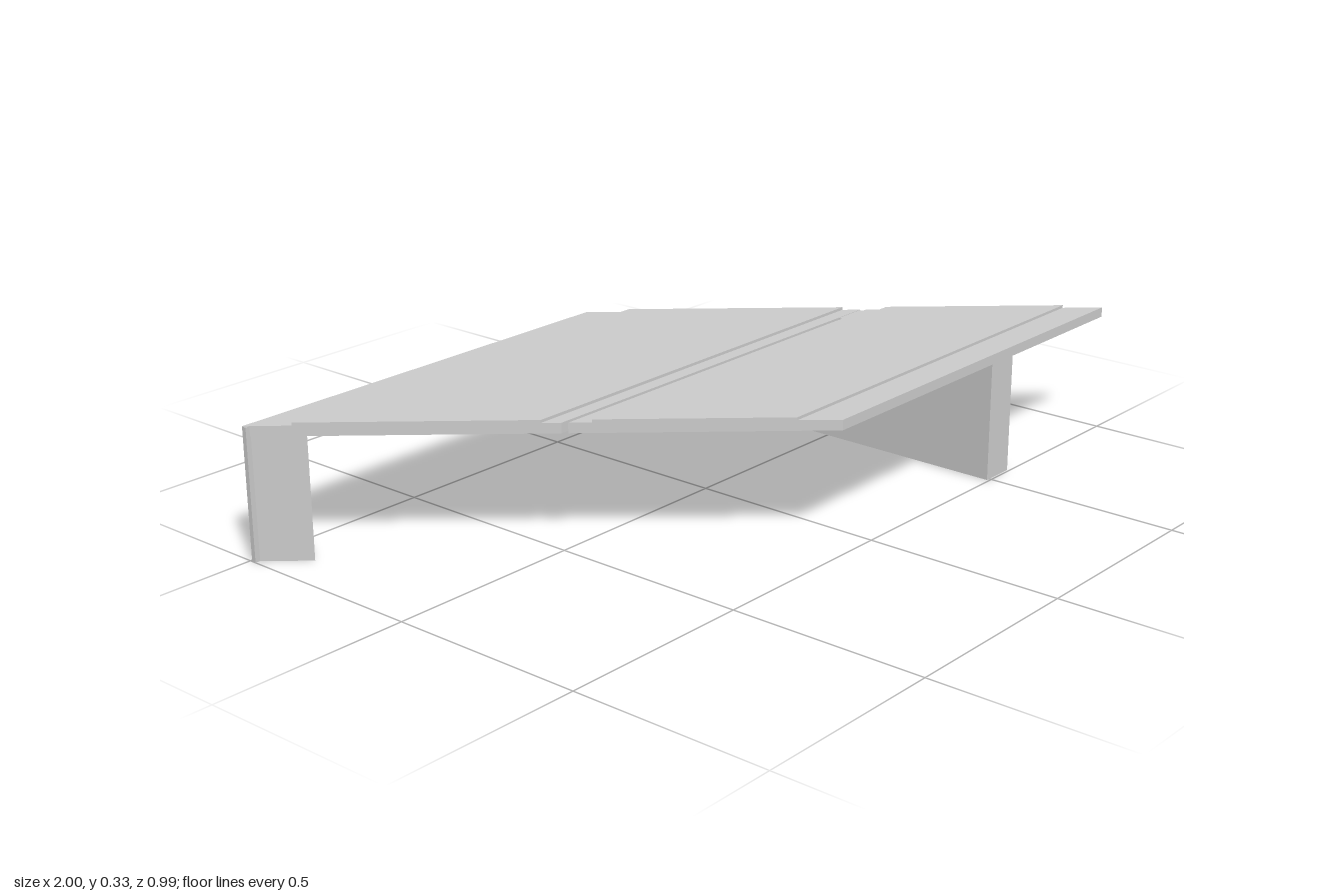
import * as THREE from 'three';

const material = new THREE.MeshStandardMaterial({ color: 0xcccccc, flatShading: true });
const HALF = 0.494;   // half depth of the bridge
const SKEW = 0.9;     // sideways shift per unit of depth
const WIDTH = 1.11;   // deck length along x
const UNDER = 0.3, TOP = 0.325, RAISED = 0.332;

function extrude(points, depth) {
  const shape = new THREE.Shape(points.map(([a, b]) => new THREE.Vector2(a, b)));
  return new THREE.ExtrudeGeometry(shape, { depth, bevelEnabled: false });
}

function addMesh(group, name, geometry) {
  const mesh = new THREE.Mesh(geometry, material);
  mesh.name = name;
  group.add(mesh);
}

// Deck half: stepped section in (z, y), swept along x and sheared into a skewed slab
function deckHalf(z0, z1, r0, r1) {
  const section = [
    [z0, UNDER], [z1, UNDER], [z1, TOP], [r1, TOP],
    [r1, RAISED], [r0, RAISED], [r0, TOP], [z0, TOP],
  ];
  const geometry = extrude(section.map(([z, y]) => [-z, y]), WIDTH);
  geometry.rotateY(Math.PI / 2);
  const p = geometry.attributes.position;
  for (let i = 0; i < p.count; i++) {
    p.setX(i, p.getX(i) - 1 + (p.getZ(i) + HALF) * SKEW);
  }
  geometry.computeVertexNormals();
  return geometry;
}

// Vertical prism from a plan outline in (x, z)
function prism(plan, height) {
  return extrude(plan.map(([x, z]) => [x, -z]), height).rotateX(-Math.PI / 2);
}

export function createModel() {
  const model = new THREE.Group();
  model.name = 'skewBridge';

  // Two deck halves with a narrow gap between them
  addMesh(model, 'backDeck', deckHalf(-HALF, 0.029, -0.413, -0.005));
  addMesh(model, 'frontDeck', deckHalf(0.04, HALF, 0.079, 0.418));

  // Long wall, its back end cut along the skew
  addMesh(model, 'wallSupport', prism([
    [0.49, HALF], [0.58, HALF], [0.58, 0.029], [0.49, -0.077],
  ], TOP - 0.001));

  // Corner post, its inner side cut along the skew
  addMesh(model, 'cornerSupport', prism([
    [-1, -HALF], [-1, -0.482], [-0.987, -0.482], [-0.905, -0.389], [-0.905, -HALF],
  ], TOP - 0.001));

  return model;
}
